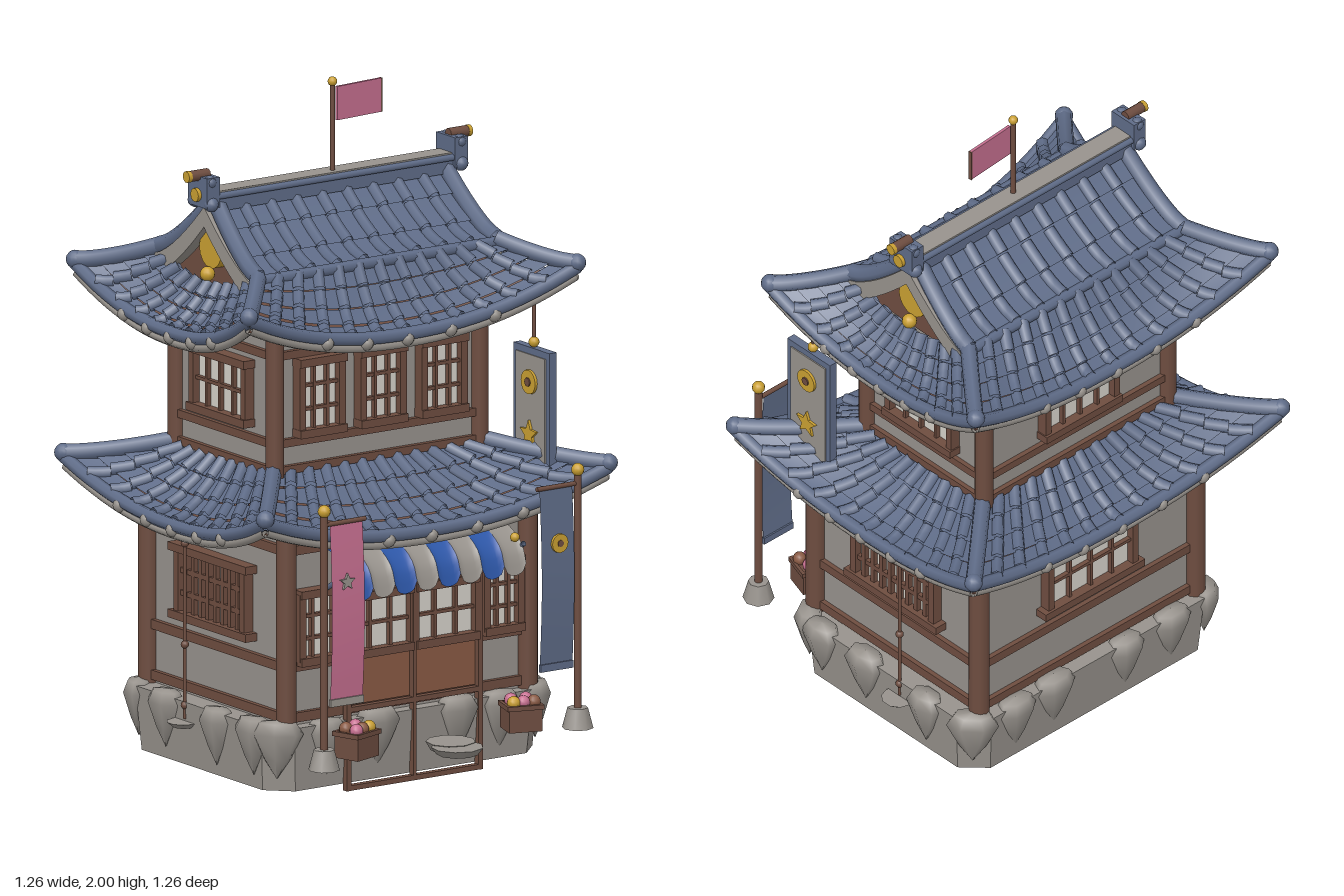
import * as THREE from 'three';
import { mergeGeometries } from 'three/addons/utils/BufferGeometryUtils.js';

const V = (x, y, z) => new THREE.Vector3(x, y, z);
const colours = {
  roofBlue: 0x5f6c88, stone: 0x98938d, wood: 0x6e4d40, doorWood: 0x895a44, wall: 0x97928d,
  paper: 0xd6d2ca, gold: 0xcaa032, pink: 0xc66f90, awningBlue: 0x2d57a8,
};
const M = {};

function add(parent, geo, mat, name, x = 0, y = 0, z = 0) {
  const m = new THREE.Mesh(geo, M[mat]);
  m.name = name;
  m.position.set(x, y, z);
  parent.add(m);
  return m;
}
const box = (p, n, mat, w, h, d, x, y, z) => add(p, new THREE.BoxGeometry(w, h, d), mat, n, x, y, z);
const cyl = (p, n, mat, r, h, x, y, z, r2 = r, seg = 10) =>
  add(p, new THREE.CylinderGeometry(r, r2, h, seg), mat, n, x, y, z);
const ball = (p, n, mat, r, x, y, z) => add(p, new THREE.SphereGeometry(r, 12, 8), mat, n, x, y, z);
const tubeGeo = (pts, r, seg = 16) => new THREE.TubeGeometry(new THREE.CatmullRomCurve3(pts), seg, r, 7);
const sample = (f, n) => Array.from({ length: n + 1 }, (_, i) => f(i / n));
const lerp = THREE.MathUtils.lerp;

// Grid patch following f(s, v)
function patch(f, ns, nv, v0 = 0, v1 = 1, lift = 0) {
  const g = new THREE.PlaneGeometry(1, 1, ns, nv), p = g.attributes.position;
  for (let i = 0; i < p.count; i++) {
    const s = p.getX(i) + 0.5, t = 0.5 - p.getY(i), q = f(s, lerp(v0, v1, t));
    p.setXYZ(i, q.x, q.y + lift * t, q.z);
  }
  g.computeVertexNormals();
  return g;
}

// Overlapping tile courses with rounded ribs
function tiles(parent, f, cols, rows, name) {
  const parts = [];
  for (let r = 0; r < rows; r++) parts.push(patch(f, 20, 2, Math.max(0, (r - 0.15) / rows), (r + 1) / rows, 0.012));
  add(parent, mergeGeometries(parts), 'roofBlue', name + 'Courses');
  const ribs = [];
  for (let c = 1; c < cols; c++) {
    for (let r = 0; r < rows; r++) {
      ribs.push(tubeGeo(sample((t) => f(c / cols, (r + t) / rows).add(V(0, 0.002 + 0.01 * t, 0)), 2), 0.019, 3));
    }
  }
  add(parent, mergeGeometries(ribs), 'roofBlue', name + 'Ribs');
}

// Four-sided sweeping roof: rectangles are [halfX, zBack, zFront]
function skirtRoof(parent, name, { inner, outer, yi, ye, lift, dip = 0 }) {
  const roof = new THREE.Group();
  roof.name = name;
  parent.add(roof);
  const corners = ([x, b, f]) => [V(x, 0, f), V(x, 0, b), V(-x, 0, b), V(-x, 0, f)];
  const I = corners(inner), O = corners(outer);
  const inward = [V(-1, 0, 0), V(0, 0, 1), V(1, 0, 0), V(0, 0, -1)];
  for (let k = 0; k < 4; k++) {
    const n = (k + 1) % 4;
    const f = (s, v) => {
      const u = 2 * s - 1;
      const a = I[k].clone().lerp(I[n], s);
      const b = O[k].clone().lerp(O[n], s).addScaledVector(inward[k], 0.035 * (1 - u * u));
      const y0 = yi - (k % 2 ? 0 : dip * (1 - u * u));
      const y1 = ye + lift * Math.abs(u) ** 2.2;
      const q = a.lerp(b, v);
      q.y = lerp(y0, y1, 1 - (1 - v) ** 1.5);
      return q;
    };
    tiles(roof, f, k % 2 ? 12 : 10, 4, 'roofSide');
    const low = (d, w = 1) => (s, v) => f(s, v * w).add(V(0, -d, 0));
    add(roof, patch(low(0.035, 0.98), 20, 8), 'wood', 'soffit');
    add(roof, tubeGeo(sample((s) => f(s, 1), 12), 0.02, 24), 'roofBlue', 'eaveRoll');
    add(roof, tubeGeo(sample((s) => low(0.028, 0.98)(s, 1), 12), 0.014, 24), 'stone', 'eaveTrim');
    add(roof, tubeGeo(sample((v) => f(0, v).add(V(0, 0.012, 0)), 6), 0.025), 'roofBlue', 'hipRoll');
    const tip = f(0, 1);
    ball(roof, 'hipTip', 'roofBlue', 0.027, tip.x, tip.y + 0.012, tip.z);
    for (const s of [0.25, 0.375, 0.5, 0.63, 0.76]) {
      const e = f(s, 1).addScaledVector(inward[k], -0.004);
      ball(roof, 'eaveDrop', 'stone', 0.022, e.x, e.y - 0.012, e.z);
    }
  }
}

// Lattice window facing +z, centred on its own origin
function latticeWindow(parent, w, h, cols, rows, x, y, z, turn = 0, ledge = 0.03, bar = 0.01) {
  const g = new THREE.Group();
  g.name = 'latticeWindow';
  g.position.set(x, y, z);
  g.rotation.y = turn;
  parent.add(g);
  box(g, 'paperPane', 'paper', w, h, 0.008, 0, 0, 0.006);
  for (const s of [-1, 1]) {
    box(g, 'windowJamb', 'wood', 0.022, h, 0.035, s * w / 2, 0, 0.015);
    box(g, 'windowRail', 'wood', w + 2 * ledge, 0.024, 0.045, 0, s * h / 2, 0.018);
  }
  for (let i = 1; i < cols; i++) box(g, 'verticalBar', 'wood', bar, h, 0.018, w * (i / cols - 0.5), 0, 0.016);
  for (let i = 1; i < rows; i++) box(g, 'crossBar', 'wood', w, bar, 0.016, 0, h * (i / rows - 0.5), 0.016);
}

function starGeo(r) {
  const pts = Array.from({ length: 10 }, (_, i) => {
    const a = i * Math.PI / 5, q = i % 2 ? r * 0.45 : r;
    return new THREE.Vector2(q * Math.sin(a), q * Math.cos(a));
  });
  return new THREE.ExtrudeGeometry(new THREE.Shape(pts), { depth: 0.008, bevelEnabled: false });
}

export function createModel() {
  for (const [n, c] of Object.entries(colours)) {
    M[n] = new THREE.MeshStandardMaterial({ color: c, side: THREE.DoubleSide });
    M[n].name = n;
  }
  const model = new THREE.Group();
  model.name = 'townhouse';

  // Foundation with chamfered corners and wedge stones
  const ch = 0.07, bx = 0.49, bz = 0.385;
  const plan = [[bx, bz - ch], [bx - ch, bz], [ch - bx, bz], [-bx, bz - ch], [-bx, ch - bz], [ch - bx, -bz], [bx - ch, -bz], [bx, ch - bz]];
  const base = new THREE.ExtrudeGeometry(new THREE.Shape(plan.map((p) => new THREE.Vector2(...p))), { depth: 0.19, bevelEnabled: false });
  base.rotateX(-Math.PI / 2);
  const bp = base.attributes.position;
  for (let i = 0; i < bp.count; i++) if (bp.getY(i) < 0.01) bp.setXYZ(i, bp.getX(i) * 0.97, 0, bp.getZ(i) * 0.96);
  base.computeVertexNormals();
  add(model, base, 'stone', 'foundation', 0, 0.02, -0.095);
  const wedge = new THREE.LatheGeometry([[0, -0.1], [0.04, -0.04], [0.077, 0.035], [0.055, 0.068], [0, 0.075]].map((p) => new THREE.Vector2(...p)), 7);
  const stoneSpots = [];
  for (const x of [-0.3, -0.12, 0.16, 0.31]) stoneSpots.push([x, 0.275, 0], [x, -0.465, 0]);
  for (const s of [-1, 1]) {
    for (const z of [0.17, -0.015, -0.27]) stoneSpots.push([s * 0.48, z, Math.PI / 2]);
    stoneSpots.push([s * 0.455, 0.25, s * 0.8], [s * 0.455, -0.44, -s * 0.8]);
  }
  stoneSpots.forEach(([x, z, turn], i) => {
    const s = add(model, wedge, 'stone', 'wedgeStone', x, 0.15 + 0.004 * (i % 3), z);
    s.rotation.y = turn;
    s.scale.set(0.9 + 0.06 * (i % 3), 1, 0.6);
  });

  // Ground floor walls, posts and beams
  box(model, 'groundFloorWall', 'wall', 0.84, 0.57, 0.68, 0, 0.485, -0.09);
  box(model, 'groundFloorUpperWall', 'wall', 0.84, 0.1, 0.54, 0, 0.785, -0.16);
  for (const s of [-1, 1]) {
    cyl(model, 'cornerPost', 'wood', 0.031, 0.58, s * 0.425, 0.49, 0.255);
    cyl(model, 'cornerPost', 'wood', 0.031, 0.63, s * 0.425, 0.515, -0.435);
    for (const y of [0.235, 0.385, 0.73]) box(model, 'sideBeam', 'wood', 0.03, 0.028, 0.68, s * 0.42, y, -0.09);
    latticeWindow(model, 0.33, 0.2, 9, 3, s * 0.42, 0.545, -0.095, s * Math.PI / 2, 0.03, 0.015);
    latticeWindow(model, 0.12, 0.2, 3, 3, s * 0.325, 0.5, 0.25, 0, 0.01);
  }
  for (const z of [-0.43, 0.25]) for (const y of [0.235, 0.385, 0.73]) box(model, 'crossBeam', 'wood', 0.84, 0.028, 0.03, 0, y, z);
  latticeWindow(model, 0.33, 0.19, 4, 2, 0, 0.55, -0.43, Math.PI);

  // Sliding doors and their long frame
  for (const s of [-1, 1]) {
    box(model, 'doorPanel', 'doorWood', 0.22, 0.15, 0.03, s * 0.115, 0.325, 0.262);
    latticeWindow(model, 0.22, 0.17, 3, 2, s * 0.115, 0.485, 0.262, 0, 0);
    box(model, 'doorJamb', 'wood', 0.015, 0.6, 0.02, s * 0.232, 0.3, 0.285);
  }
  box(model, 'doorMiddlePost', 'wood', 0.012, 0.57, 0.02, 0, 0.295, 0.285);
  for (const y of [0.008, 0.24, 0.58]) box(model, 'doorRail', 'wood', 0.47, 0.015, 0.02, 0, y, 0.285);

  // Striped awning with scalloped edge
  const curve = new THREE.CatmullRomCurve3([V(0, 0.73, 0.28), V(0, 0.715, 0.34), V(0, 0.675, 0.395), V(0, 0.625, 0.415)]);
  for (let i = 0; i < 8; i++) {
    const x0 = -0.308 + i * 0.077;
    const g = patch((s, t) => {
      const q = curve.getPoint(t), u = 2 * s - 1;
      return V(x0 + 0.077 * s, q.y - 0.032 * t * t * Math.sqrt(1 - u * u), q.z);
    }, 8, 8);
    add(model, g, i % 2 ? 'stone' : 'awningBlue', 'awningStripe');
  }
  for (const s of [-1, 1]) {
    add(model, tubeGeo([V(s * 0.31, 0.6, 0.27), V(s * 0.31, 0.64, 0.34), V(s * 0.31, 0.68, 0.4)], 0.008, 4), 'roofBlue', 'awningBrace');
    ball(model, 'awningKnob', 'gold', 0.014, s * 0.285, 0.7, 0.39);
  }

  // Upper floor
  box(model, 'upperFloorWall', 'wall', 0.72, 0.58, 0.49, 0, 1.14, -0.14);
  for (const s of [-1, 1]) {
    for (const z of [0.105, -0.385]) cyl(model, 'upperPost', 'wood', 0.028, 0.55, s * 0.36, 1.14, z);
    for (const y of [0.93, 1.01, 1.27]) {
      box(model, 'upperSideBeam', 'wood', 0.025, 0.024, 0.48, s * 0.362, y, -0.14);
      box(model, 'upperCrossBeam', 'wood', 0.72, 0.024, 0.025, 0, y, -0.14 + s * 0.248);
    }
    latticeWindow(model, 0.26, 0.175, 4, 2, s * 0.36, 1.14, -0.14, s * Math.PI / 2, 0.015);
  }
  for (const x of [-0.215, 0, 0.215]) {
    latticeWindow(model, 0.14, 0.21, 3, 3, x, 1.14, 0.107, 0, 0.012);
    box(model, 'beamBadge', 'gold', 0.03, 0.012, 0.008, x + 0.06, 1.275, 0.125);
  }
  latticeWindow(model, 0.27, 0.175, 4, 2, 0, 1.14, -0.385, Math.PI, 0.015);

  // Roofs
  skirtRoof(model, 'lowerRoof', { inner: [0.37, -0.39, 0.11], outer: [0.605, -0.605, 0.405], yi: 0.915, ye: 0.757, lift: 0.11 });
  skirtRoof(model, 'upperRoof', { inner: [0.42, -0.385, 0.105], outer: [0.578, -0.585, 0.285], yi: 1.5, ye: 1.315, lift: 0.125, dip: 0.05 });
  const cz = -0.14;
  const gableY = (v) => 1.685 - 0.185 * (1 - (1 - v) ** 1.4);
  for (const s of [-1, 1]) {
    const f = (t, v) => V((2 * t - 1) * (0.4 + 0.02 * v), gableY(v), cz + s * 0.245 * v);
    tiles(model, f, 9, 3, 'gableRoof');
    add(model, patch((t, v) => f(t, v).add(V(0, -0.015, 0)), 2, 8), 'wood', 'gableLining');
    add(model, tubeGeo([f(0, 1), f(1, 1)], 0.017, 2), 'roofBlue', 'gableEaveRoll');
    for (const t of [0, 1]) add(model, tubeGeo(sample((v) => f(t, v).add(V(0, 0.012, 0)), 6), 0.026), 'roofBlue', 'gableRoll');
  }

  // Gable ends: timber infill, bargeboards and medallions
  const edge = (drop) => sample((t) => new THREE.Vector2((2 * t - 1) * 0.25, gableY(Math.abs(2 * t - 1)) - drop), 16);
  const side = (shape, d) => new THREE.ExtrudeGeometry(shape, { depth: d, bevelEnabled: false }).translate(0, 0, -d / 2).rotateY(-Math.PI / 2);
  const infill = new THREE.Shape([...edge(0.03), new THREE.Vector2(0.25, 1.42), new THREE.Vector2(-0.25, 1.42)]);
  const barge = new THREE.Shape([...edge(0.01), ...edge(0.07).reverse()]);
  for (const s of [-1, 1]) {
    add(model, side(infill, 0.02), 'wood', 'gableInfill', s * 0.375, 0, cz);
    add(model, side(barge, 0.04), 'stone', 'bargeboard', s * 0.418, 0, cz);
    cyl(model, 'gableMedallion', 'gold', 0.055, 0.03, s * 0.4, 1.545, cz, 0.055, 16).rotation.z = Math.PI / 2;
    ball(model, 'gablePendant', 'gold', 0.022, s * 0.425, 1.475, cz);
    // Ridge finial
    box(model, 'finialBlock', 'roofBlue', 0.045, 0.09, 0.095, s * 0.437, 1.725, cz);
    for (const q of [-1, 1]) {
      ball(model, 'finialLobe', 'roofBlue', 0.022, s * 0.44, 1.69, cz + q * 0.04);
      ball(model, 'finialLobe', 'roofBlue', 0.02, s * 0.44, 1.755, cz + q * 0.033);
    }
    cyl(model, 'finialPeg', 'wood', 0.016, 0.066, s * 0.457, 1.772, cz).rotation.z = Math.PI / 2;
    cyl(model, 'finialPegTip', 'gold', 0.017, 0.012, s * 0.494, 1.772, cz).rotation.z = Math.PI / 2;
    cyl(model, 'finialDisc', 'gold', 0.02, 0.014, s * 0.464, 1.715, cz).rotation.z = Math.PI / 2;
  }
  box(model, 'ridge', 'roofBlue', 0.84, 0.05, 0.075, 0, 1.69, cz);
  box(model, 'ridgeCap', 'stone', 0.85, 0.009, 0.064, 0, 1.719, cz);
  for (const s of [-1, 1]) add(model, tubeGeo([V(-0.42, 1.71, cz + s * 0.036), V(0.42, 1.71, cz + s * 0.036)], 0.01, 2), 'roofBlue', 'ridgeRoll');

  // Rooftop flag
  cyl(model, 'flagPole', 'wood', 0.008, 0.28, 0.012, 1.84, cz + 0.005);
  ball(model, 'flagPoleBall', 'gold', 0.014, 0.012, 1.986, cz + 0.005);
  box(model, 'flag', 'pink', 0.165, 0.1, 0.009, 0.106, 1.92, cz + 0.002).rotation.y = 0.08;
  box(model, 'flagHem', 'wood', 0.006, 0.1, 0.011, 0.189, 1.92, cz - 0.005).rotation.y = 0.08;

  // Standing banners, produce crates and hanging chimes
  for (const s of [-1, 1]) {
    const g = new THREE.Group();
    g.name = 'standingBanner';
    g.position.set(s * 0.447, 0, 0.475);
    model.add(g);
    cyl(g, 'bannerFoot', 'stone', 0.03, 0.06, 0, 0.16, 0, 0.046, 8);
    cyl(g, 'bannerPole', 'wood', 0.012, 0.74, 0, 0.51, 0);
    ball(g, 'bannerPoleBall', 'gold', 0.019, 0, 0.895, 0);
    cyl(g, 'bannerArm', 'wood', 0.007, 0.15, -s * 0.07, 0.855, 0).rotation.z = Math.PI / 2;
    const cloth = (a, b, y0, y1) => patch((u, v) => V(-s * lerp(a, b, u), lerp(y0, y1, v), 0.012 * Math.sin(3 * v)), 1, 8);
    add(g, cloth(0.02, 0.135, 0.85, 0.33), s < 0 ? 'pink' : 'roofBlue', 'bannerCloth');
    box(g, 'bannerHem', s < 0 ? 'stone' : 'roofBlue', 0.115, 0.022, 0.01, -s * 0.0775, 0.323, 0.002);
    if (s < 0) add(g, starGeo(0.026), 'stone', 'bannerStar', 0.07, 0.68, 0.013);
    else {
      cyl(g, 'bannerDisc', 'gold', 0.028, 0.008, -0.075, 0.69, 0.016, 0.028, 16).rotation.x = Math.PI / 2;
      cyl(g, 'bannerDiscCentre', 'wood', 0.01, 0.006, -0.075, 0.69, 0.02).rotation.x = Math.PI / 2;
    }

    const c = new THREE.Group();
    c.name = 'produceCrate';
    c.position.set(s * 0.29, 0.135, 0.415);
    c.rotation.y = -s * 0.3;
    model.add(c);
    box(c, 'crateBox', 'wood', 0.1, 0.07, 0.085, 0, 0.035, 0);
    for (const q of [-1, 1]) {
      box(c, 'crateRim', 'wood', 0.11, 0.014, 0.01, 0, 0.072, q * 0.042);
      box(c, 'crateRim', 'wood', 0.01, 0.014, 0.09, q * 0.05, 0.072, 0);
    }
    const fill = s < 0 ? ['doorWood', 'pink', 'doorWood', 'gold', 'pink'] : ['pink', 'pink', 'pink', 'doorWood', 'gold'];
    [[-0.025, -0.02], [0.02, -0.02], [0, 0.02], [0.032, 0.02], [-0.03, 0.022]].forEach(([x, z], i) =>
      ball(c, 'produce', fill[i], 0.02, x, 0.085, z));

    cyl(model, 'chimeRod', 'wood', 0.005, 0.58, s * 0.487, 0.45, -0.165);
    cyl(model, 'chimeDish', 'stone', 0.05, 0.016, s * 0.492, 0.145, -0.165, 0.03);
    for (const y of [0.2, 0.38, 0.68]) ball(model, 'chimeBead', 'wood', 0.012, s * 0.487, y, -0.165);
  }

  // Stepping stone
  cyl(model, 'steppingStone', 'stone', 0.077, 0.022, -0.028, 0.143, 0.547, 0.06, 9);
  cyl(model, 'steppingStone', 'stone', 0.073, 0.026, -0.008, 0.143, 0.485, 0.058, 9);

  // Hanging side sign
  box(model, 'signFrame', 'roofBlue', 0.026, 0.46, 0.18, 0.483, 0.97, 0.21);
  box(model, 'signBoard', 'stone', 0.034, 0.42, 0.145, 0.483, 0.97, 0.21);
  for (const s of [-1, 1]) {
    cyl(model, 'signDisc', 'gold', 0.036, 0.008, 0.483 + s * 0.021, 1.1, 0.21, 0.036, 16).rotation.z = Math.PI / 2;
    cyl(model, 'signDiscCentre', 'wood', 0.013, 0.006, 0.483 + s * 0.026, 1.1, 0.21).rotation.z = Math.PI / 2;
    add(model, starGeo(0.042), 'gold', 'signStar', 0.483 + s * 0.017, 0.945, 0.21).rotation.y = s * Math.PI / 2;
  }
  cyl(model, 'signHanger', 'wood', 0.006, 0.16, 0.483, 1.27, 0.205);
  ball(model, 'signBall', 'gold', 0.016, 0.483, 1.215, 0.205);
  return model;
}
